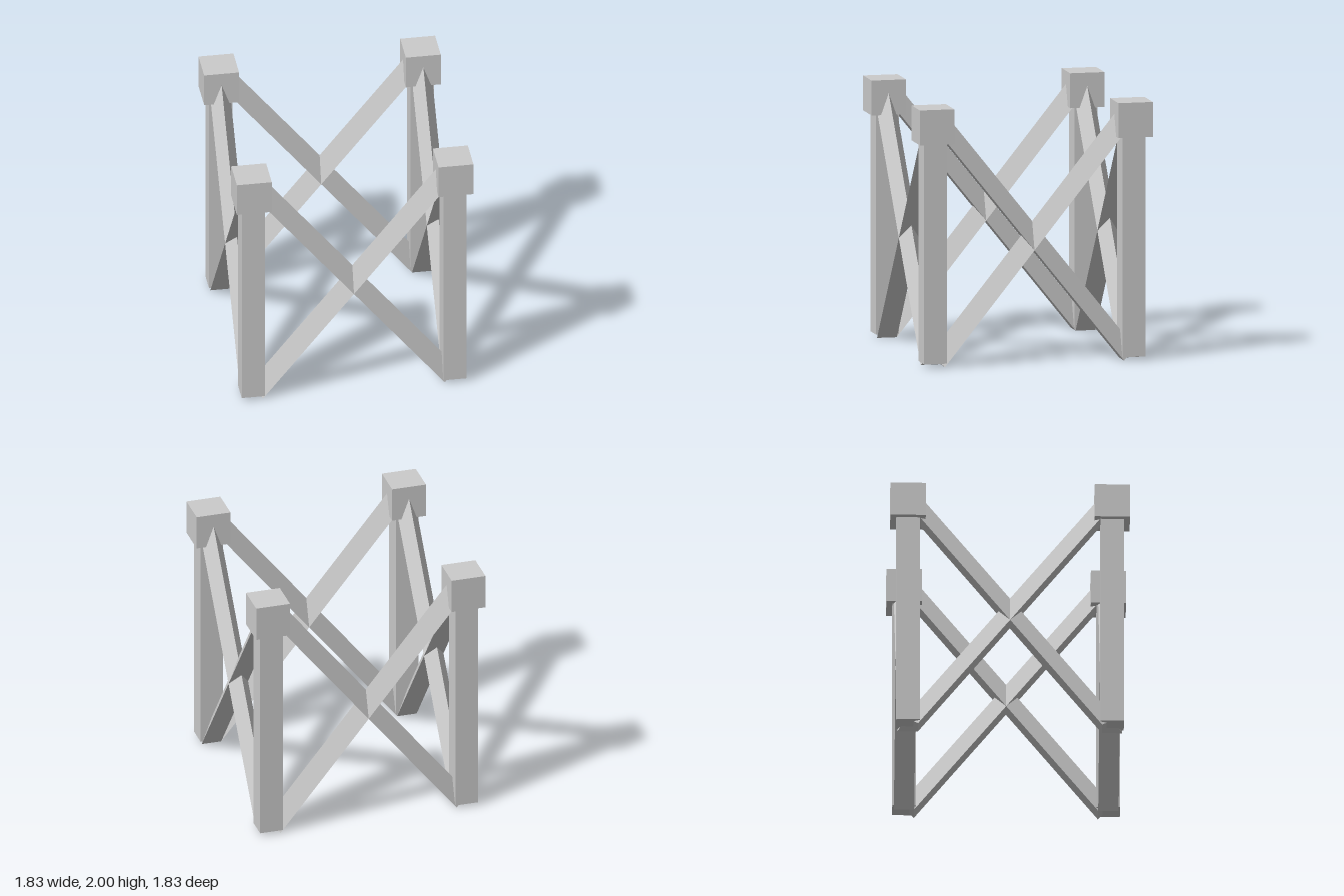
import * as THREE from 'three';

export function createModel() {
  const model = new THREE.Group();
  model.name = 'crossBracedFrame';
  const material = new THREE.MeshStandardMaterial({ color: 0xcccccc, flatShading: true });
  const corner = 0.78;

  const add = (parent, name, geometry, x, y, z) => {
    const mesh = new THREE.Mesh(geometry, material);
    mesh.name = name;
    mesh.position.set(x, y, z);
    parent.add(mesh);
    return mesh;
  };

  // Four square legs, each with a cube cap
  const legGeometry = new THREE.BoxGeometry(0.18, 1.83, 0.18);
  const capGeometry = new THREE.BoxGeometry(0.27, 0.27, 0.27);
  for (const x of [-corner, corner]) {
    for (const z of [-corner, corner]) {
      add(model, 'leg', legGeometry, x, 0.03 + 1.83 / 2, z);
      add(model, 'legCap', capGeometry, x, 1.865, z);
    }
  }

  // Three-sided brace bar, ridge upwards, leaning across one side
  const halfRun = 0.738, halfRise = 0.92;
  const braceGeometry = new THREE.CylinderGeometry(0.09, 0.09, 2 * Math.hypot(halfRun, halfRise), 3);
  braceGeometry.rotateY(Math.PI / 2);
  braceGeometry.rotateZ(Math.atan2(halfRun, halfRise));

  // A crossed pair of braces on each of the four sides
  for (let i = 0; i < 4; i++) {
    const side = new THREE.Group();
    side.name = 'crossBrace';
    const angle = i * Math.PI / 2;
    side.position.set(Math.sin(angle) * corner, 0.95, Math.cos(angle) * corner);
    side.rotation.y = angle;
    add(side, 'braceDown', braceGeometry, 0, 0, 0);
    add(side, 'braceUp', braceGeometry, 0, 0, 0).rotation.y = Math.PI;
    model.add(side);
  }
  return model;
}
